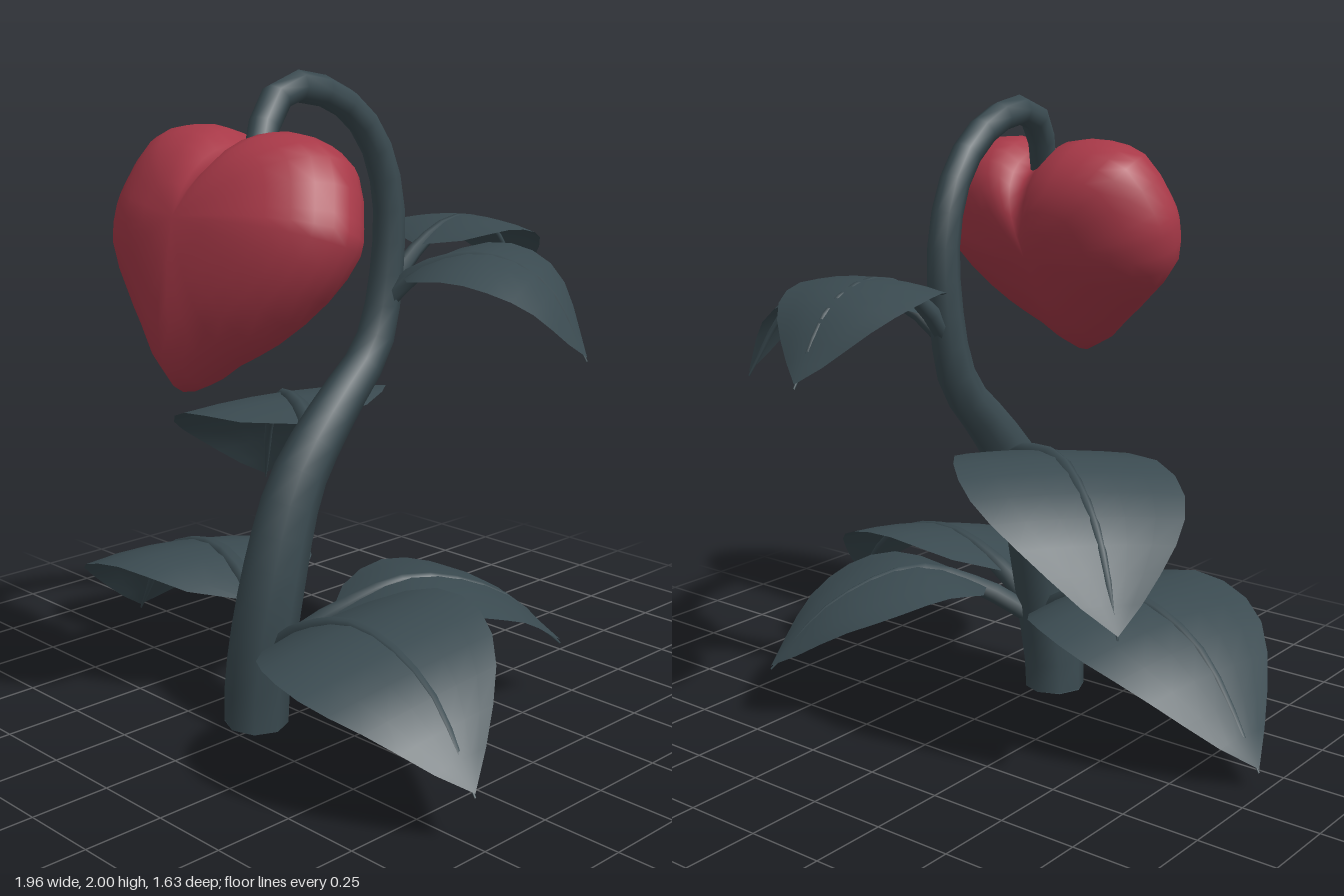
import * as THREE from 'three';
import { mergeVertices } from 'three/addons/utils/BufferGeometryUtils.js';

const V = (p) => new THREE.Vector3(...p);
const lerpList = (list, t) => {
  const f = Math.min(Math.max(t, 0), 1) * (list.length - 1);
  const i = Math.min(Math.floor(f), list.length - 2);
  return THREE.MathUtils.lerp(list[i], list[i + 1], f - i);
};
// weld seams so that the normals come out smooth
const smooth = (g) => {
  g.deleteAttribute('uv');
  g.deleteAttribute('normal');
  const m = mergeVertices(g, 1e-4);
  m.computeVertexNormals();
  return m;
};

// round tube whose radius follows an evenly spaced list
function taperedTube(curve, radii, segments, sides) {
  const g = new THREE.TubeGeometry(curve, segments, 1, sides);
  const pos = g.attributes.position;
  const v = new THREE.Vector3();
  for (let i = 0; i <= segments; i++) {
    const c = curve.getPointAt(i / segments);
    const r = lerpList(radii, i / segments);
    for (let j = 0; j <= sides; j++) {
      const k = i * (sides + 1) + j;
      v.fromBufferAttribute(pos, k).sub(c).multiplyScalar(r).add(c);
      pos.setXYZ(k, v.x, v.y, v.z);
    }
  }
  return smooth(g);
}

// leaf blade: a sheet bent along its midrib, with the edges drooping
const WIDTHS = [0.06, 0.58, 0.82, 0.95, 1, 0.98, 0.88, 0.71, 0.5, 0.27, 0];
function bladeGeometry(curve, start, halfWidth, roll, droop) {
  const across = 6, along = 10;
  const g = new THREE.PlaneGeometry(2, 1, across, along);
  const pos = g.attributes.position;
  const a = curve.getPointAt(start), b = curve.getPointAt(1);
  const d = b.clone().sub(a).setY(0).normalize();
  const side = new THREE.Vector3(d.z, roll, -d.x);
  for (let i = 0; i <= along; i++) {
    const t = i / along;
    const c = curve.getPointAt(start + (1 - start) * t);
    const w = halfWidth * lerpList(WIDTHS, t);
    for (let j = 0; j <= across; j++) {
      const u = (j / across) * 2 - 1;
      const p = c.clone().addScaledVector(side, u * w);
      p.y += 0.012 - droop * u * u * w;
      // rounded shoulders sweep back towards the stem
      p.addScaledVector(d, -0.06 * u * u * w);
      pos.setXYZ(i * (across + 1) + j, p.x, p.y, p.z);
    }
  }
  return smooth(g);
}

// heart bloom: outline rings shrinking towards the front and back
function heartGeometry() {
  const outline = new THREE.CatmullRomCurve3([
    [-0.03, -0.45], [0.09, -0.37], [0.23, -0.28], [0.38, -0.13], [0.455, 0.02], [0.44, 0.1],
    [0.365, 0.25], [0.23, 0.305], [0.12, 0.3], [0.04, 0.235],
    [-0.06, 0.3], [-0.22, 0.31], [-0.35, 0.265], [-0.43, 0.11], [-0.445, 0.03],
    [-0.42, -0.1], [-0.31, -0.22], [-0.2, -0.32],
  ].map(([x, y]) => new THREE.Vector3(x, y, 0)), true, 'centripetal');
  const around = 36, layers = 14;
  const g = new THREE.PlaneGeometry(1, 1, around, layers);
  const pos = g.attributes.position;
  for (let i = 0; i <= layers; i++) {
    const a = (i / layers) * Math.PI;
    const s = i === 0 || i === layers ? 0 : Math.pow(Math.sin(a), 0.8);
    for (let j = 0; j <= around; j++) {
      const p = outline.getPoint((j % around) / around).multiplyScalar(s);
      const tip = Math.max(0, -p.y / 0.45);
      const crease = 0.1 * Math.exp(-Math.pow((p.x - 0.02) / 0.05, 2)) * Math.max(0, p.y / 0.25);
      const z = 0.222 * Math.cos(a) * (1 - 0.2 * tip - crease);
      pos.setXYZ(i * (around + 1) + j, p.x, p.y, z);
    }
  }
  // rings run from the front to the back, counter-clockwise outside
  const idx = g.index.array;
  const n = new THREE.Vector3(), tri = new THREE.Triangle();
  const k = Math.floor(layers / 2) * around * 6;
  tri.setFromAttributeAndIndices(pos, idx[k], idx[k + 1], idx[k + 2]);
  tri.getNormal(n);
  if (n.dot(tri.getMidpoint(new THREE.Vector3())) < 0) {
    for (let i = 0; i < idx.length; i += 3) [idx[i], idx[i + 1]] = [idx[i + 1], idx[i]];
  }
  return smooth(g);
}

export function createModel() {
  const green = new THREE.MeshStandardMaterial({ color: 0x3a4a50 });
  green.name = 'dark slate green';
  const leafGreen = green;
  leafGreen.side = THREE.DoubleSide;
  const red = new THREE.MeshStandardMaterial({ color: 0xa83948 });
  red.name = 'heart red';

  const model = new THREE.Group();
  model.name = 'heartFlower';
  const add = (parent, name, geometry, material) => {
    const m = new THREE.Mesh(geometry, material);
    m.name = name;
    parent.add(m);
    return m;
  };

  // arching stem
  const stem = new THREE.CatmullRomCurve3([
    [-0.035, 0, 0.4], [-0.03, 0.1, 0.4], [0, 0.42, 0.365], [0.005, 0.75, 0.26], [0.01, 0.95, 0.11],
    [0.01, 1.13, -0.06], [0.01, 1.3, -0.115], [0.015, 1.6, -0.125], [0.02, 1.8, -0.04],
    [0.025, 1.92, 0.12], [0.03, 1.945, 0.31], [0.055, 1.86, 0.41], [0.08, 1.76, 0.46],
  ].map(V), false, 'centripetal');
  add(model, 'stem', taperedTube(stem,
    [0.1, 0.104, 0.1, 0.09, 0.078, 0.064, 0.055, 0.05, 0.047, 0.047, 0.047, 0.045], 26, 8), green);
  const foot = add(model, 'stemFoot', new THREE.CircleGeometry(0.1, 8), green);
  foot.rotation.x = Math.PI / 2;
  foot.position.set(-0.035, 0.001, 0.4);

  // leaves: midrib path, where the blade starts, half width, roll, droop, rib size
  const leaves = [
    ['upperBackLeaf', [[0.01, 1.25, -0.1], [0.01, 1.4, -0.23], [0, 1.5, -0.45], [-0.01, 1.45, -0.65], [-0.02, 1.25, -0.81]],
      0.27, 0.24, 0, 0.12, 0.028],
    ['upperLeftLeaf', [[0.01, 1.25, -0.1], [0.11, 1.37, -0.16], [0.3, 1.43, -0.25], [0.48, 1.36, -0.32], [0.61, 1.13, -0.38]],
      0.14, 0.25, 0.12, 0.12, 0.028],
    ['middleRightLeaf', [[0, 0.84, 0.2], [-0.13, 0.9, 0.09], [-0.33, 0.93, 0], [-0.55, 0.8, -0.13], [-0.72, 0.52, -0.25]],
      0.13, 0.355, -0.08, 0.06, 0.035],
    ['lowerRightLeaf', [[0, 0.26, 0.37], [-0.13, 0.35, 0.31], [-0.38, 0.45, 0.26], [-0.7, 0.36, 0.21], [-0.98, 0.05, 0.13]],
      0.13, 0.365, 0.06, 0.1, 0.038],
    ['lowerLeftLeaf', [[0, 0.22, 0.38], [0.17, 0.35, 0.4], [0.46, 0.45, 0.43], [0.76, 0.37, 0.47], [0.98, 0.15, 0.52]],
      0.19, 0.325, 0.18, 0.06, 0.036],
    ['lowerBackLeaf', [[0.02, 0.24, 0.36], [0.14, 0.36, 0.22], [0.27, 0.45, 0.02], [0.4, 0.37, -0.24], [0.5, 0.18, -0.43]],
      0.2, 0.275, 0, 0.12, 0.034],
  ];
  for (const [name, points, start, halfWidth, roll, droop, rib] of leaves) {
    const leaf = new THREE.Group();
    leaf.name = name;
    model.add(leaf);
    const curve = new THREE.CatmullRomCurve3(points.map(V), false, 'centripetal');
    add(leaf, 'blade', bladeGeometry(curve, start, halfWidth, roll, droop), leafGreen);
    add(leaf, 'midrib', taperedTube(curve,
      [rib, rib, rib * 0.75, rib * 0.55, rib * 0.45, rib * 0.35, 0.003], 12, 6), green);
  }

  // hanging heart, tilted so the tip swings forward
  const heart = add(model, 'heartBloom', heartGeometry(), red);
  heart.position.set(0.08, 1.545, 0.566);
  heart.rotation.x = -Math.asin(0.355);
  return model;
}
